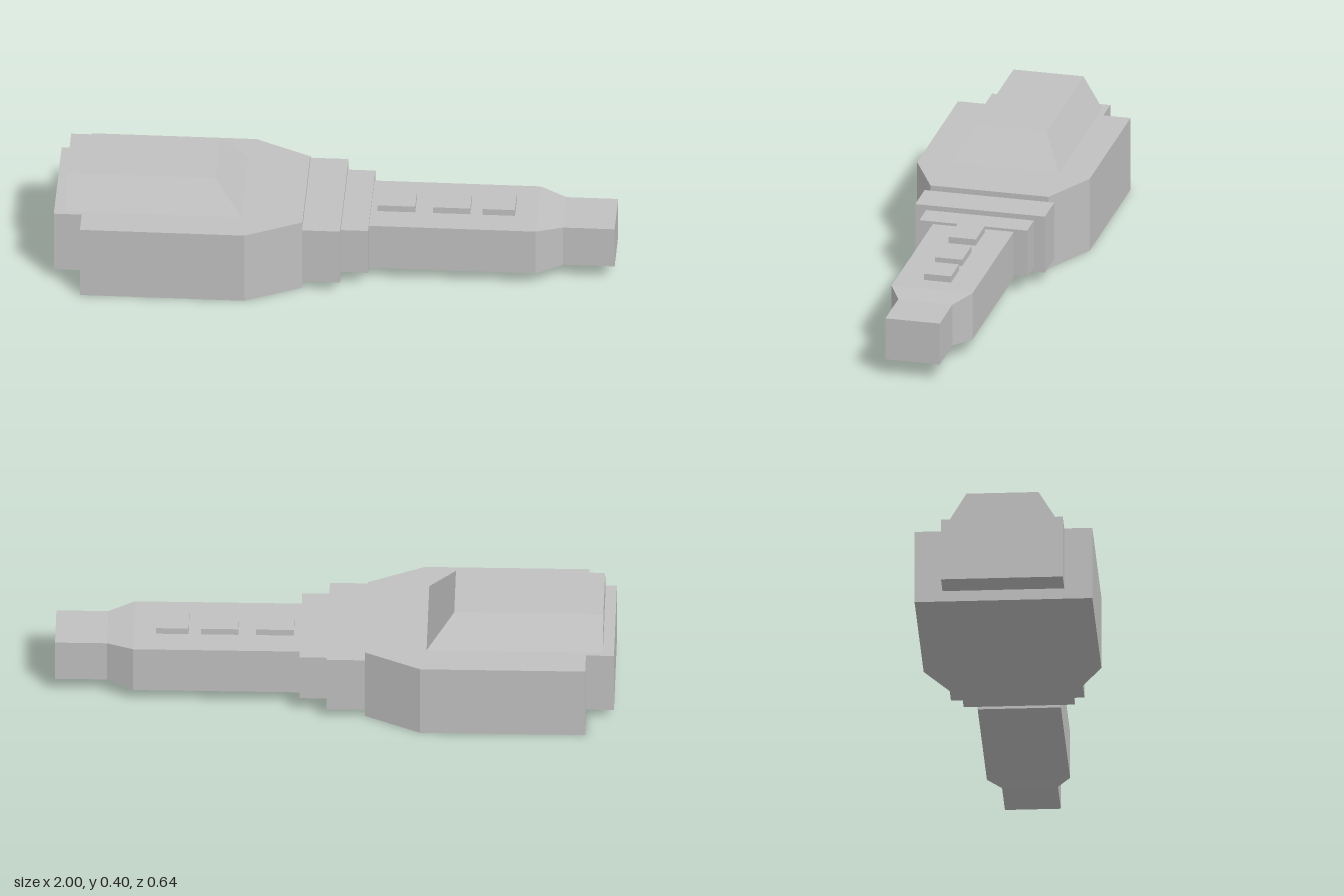
import * as THREE from 'three';

// Flat-faced solid lofted along x.
// Each section: [x, bottom y, top y, half width at bottom, half width at top]
function loft(sections) {
  const rings = sections.map(([x, y0, y1, wb, wt]) => [
    [x, y0, wb], [x, y0, -wb], [x, y1, -wt], [x, y1, wt],
  ]);
  const pos = [];
  const quad = (a, b, c, d) => pos.push(...a, ...b, ...c, ...a, ...c, ...d);
  for (let s = 0; s < rings.length - 1; s++) {
    const a = rings[s], b = rings[s + 1];
    for (let i = 0; i < 4; i++) {
      const j = (i + 1) % 4;
      quad(a[i], a[j], b[j], b[i]);
    }
  }
  const [first, last] = [rings[0], rings[rings.length - 1]];
  quad(first[3], first[2], first[1], first[0]);
  quad(...last);
  const geo = new THREE.BufferGeometry();
  geo.setAttribute('position', new THREE.Float32BufferAttribute(pos, 3));
  geo.computeVertexNormals();
  return geo;
}

export function createModel() {
  const group = new THREE.Group();
  const grey = new THREE.MeshStandardMaterial({ color: 0xc0c0c0 });
  grey.name = 'light grey';

  const add = (name, geometry) => {
    const mesh = new THREE.Mesh(geometry, grey);
    mesh.name = name;
    group.add(mesh);
  };
  const block = (name, x0, x1, y0, y1, w) =>
    add(name, loft([[x0, y0, y1, w, w], [x1, y0, y1, w, w]]));

  // Main body, narrowing towards the neck
  add('mainHull', loft([
    [-0.9, 0, 0.277, 0.318, 0.318],
    [-0.31, 0, 0.277, 0.318, 0.318],
    [-0.11, 0, 0.277, 0.218, 0.218],
  ]));
  block('rearBlock', -1, -0.9, 0.041, 0.277, 0.218);

  // Raised cabin with sloping sides and nose, upright at the back
  const cabin = loft([
    [-0.96, 0.277, 0.395, 0.199, 0.129],
    [-0.33, 0.277, 0.395, 0.199, 0.129],
  ]);
  const p = cabin.attributes.position;
  for (let i = 0; i < p.count; i++) {
    if (p.getX(i) > -0.5 && p.getY(i) > 0.3) p.setX(i, -0.427);
  }
  cabin.computeVertexNormals();
  add('cabin', cabin);

  // Stepped collars
  block('wideCollar', -0.11, 0.026, 0.041, 0.257, 0.239);
  block('narrowCollar', 0.026, 0.124, 0.06, 0.238, 0.199);

  // Long neck tapering to a square tip
  add('neck', loft([
    [0.124, 0.05, 0.228, 0.149, 0.149],
    [0.72, 0.05, 0.228, 0.149, 0.149],
    [0.815, 0.06, 0.218, 0.1, 0.1],
    [1, 0.06, 0.218, 0.1, 0.1],
  ]));

  // Hatches along the neck
  for (const [x0, x1] of [[0.148, 0.283], [0.346, 0.48], [0.524, 0.64]]) {
    block('neckHatch', x0, x1, 0.228, 0.252, 0.05);
  }
  return group;
}
